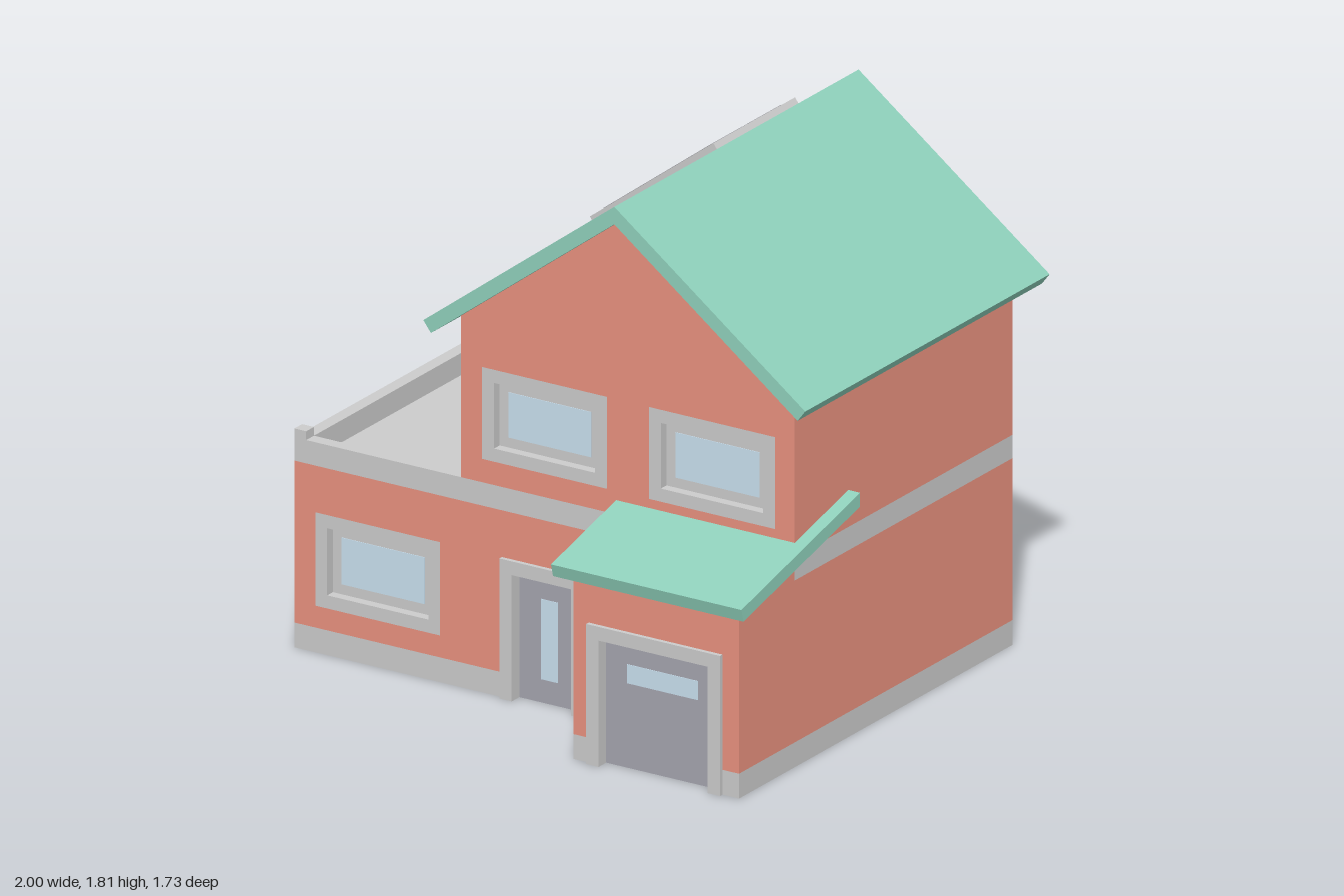
import * as THREE from 'three';

const mat = (color) => new THREE.MeshStandardMaterial({ color, flatShading: true });
const GREY = mat(0xcccccc), BRICK = mat(0xe8917f), ROOF = mat(0x8fd0bb);
const GLASS = mat(0xc8dfee), DOOR = mat(0xa4a4ae), CELL = mat(0x9c9ca2);
const D = 0.04; // depth of the outer wall skin
const L = -1, R = 0.905, U = -0.365, F = 0.485, B = -0.785, PEAK = 0.27;
const BASE = 0.085, DECK = 0.64, BAND = 0.72, EAVE = 1.274, TOP = 1.75;

function add(parent, name, geometry, material) {
  const mesh = new THREE.Mesh(geometry, material);
  mesh.name = name;
  parent.add(mesh);
  return mesh;
}

// Box given by its limits on each axis
function box(parent, name, material, x0, x1, y0, y1, z0, z1) {
  const mesh = add(parent, name, new THREE.BoxGeometry(x1 - x0, y1 - y0, z1 - z0), material);
  mesh.position.set((x0 + x1) / 2, (y0 + y1) / 2, (z0 + z1) / 2);
  return mesh;
}

const outline = (pts) => new THREE.Shape(pts.map(([x, y]) => new THREE.Vector2(x, y)));
const rect = (x0, x1, y0, y1) => [[x0, y0], [x1, y0], [x1, y1], [x0, y1]];

// Flat shape with holes, extruded from z0 to z1
function slab(parent, name, material, pts, z0, z1, holes = []) {
  const shape = outline(pts);
  holes.forEach((h) => shape.holes.push(outline(rect(...h))));
  const geometry = new THREE.ExtrudeGeometry(shape, { depth: z1 - z0, bevelEnabled: false });
  geometry.translate(0, 0, z0);
  return add(parent, name, geometry, material);
}

// Profile of [z, y] points extruded across x
function sideSlab(parent, name, material, pts, x0, x1) {
  const mesh = slab(parent, name, material, pts, 0, x1 - x0);
  mesh.rotation.y = -Math.PI / 2;
  mesh.position.x = x1;
  return mesh;
}

// Wall skin: outer face on local z = 0, doors notch the lower edge
function skin(parent, name, x0, x1, y0, y1, doors, windows, peakX) {
  const pts = [[x0, y0]];
  doors.forEach((d) => pts.push([d[0], y0], [d[0], d[3]], [d[1], d[3]], [d[1], y0]));
  pts.push([x1, y0], [x1, y1]);
  if (peakX !== undefined) pts.push([peakX, TOP]);
  pts.push([x0, y1]);
  slab(parent, name, BRICK, pts, -D, 0, windows);
}

// Plinth strip interrupted by doors
function plinth(parent, x0, x1, doors) {
  let start = x0;
  [...doors, [x1, x1]].forEach((d) => {
    box(parent, 'plinth', GREY, start, d[0], 0, BASE, -D, 0);
    start = d[1];
  });
}

// Flush surround, recessed sash and pane
function addWindow(parent, [x0, x1, y0, y1]) {
  const g = new THREE.Group();
  g.name = 'window';
  parent.add(g);
  const a = 0.045, b = 0.08;
  const hole = [x0 + a, x1 - a, y0 + a, y1 - a];
  slab(g, 'windowSurround', GREY, rect(x0, x1, y0, y1), -D, 0, [hole]);
  box(g, 'windowSash', GREY, ...hole, -D, -0.033);
  box(g, 'windowPane', GLASS, x0 + b, x1 - b, y0 + b, y1 - b, -D, -0.031);
}

// Door frame standing proud by p, with a recessed leaf and optional pane
function addDoor(parent, [x0, x1, y0, y1], p, pane) {
  const g = new THREE.Group();
  g.name = 'door';
  parent.add(g);
  const a = 0.047;
  slab(g, 'doorFrame', GREY, [[x0, y0], [x0 + a, y0], [x0 + a, y1 - a], [x1 - a, y1 - a],
    [x1 - a, y0], [x1, y0], [x1, y1], [x0, y1]], -D, p);
  box(g, 'doorLeaf', DOOR, x0 + a, x1 - a, y0, y1 - a, -D, -0.03);
  if (pane) box(g, 'doorPane', GLASS, ...pane, -D, -0.028);
}

function wallGroup(parent, name, x, z, turn) {
  const g = new THREE.Group();
  g.name = name;
  g.position.set(x, 0, z);
  g.rotation.y = turn;
  parent.add(g);
  return g;
}

export function createModel() {
  const house = new THREE.Group();
  house.name = 'house';

  // Inner cores, whose ends form the plain side walls
  box(house, 'plinthCore', GREY, L, R, 0, BASE, B + D, F - D);
  box(house, 'groundFloorCore', BRICK, L, R, BASE, DECK, B + D, F - D);
  box(house, 'bandCore', GREY, U + D, R, DECK, BAND, B + D, F - D);
  const xi = U + D;
  slab(house, 'upperFloorCore', BRICK, [[xi, BAND], [R, BAND], [R, EAVE], [PEAK, TOP],
    [xi, TOP - 0.75 * (PEAK - xi)]], B + D, F - D);

  // Terrace floor, parapets and corner posts
  const t = 0.045;
  box(house, 'terraceFloor', GREY, L + t, xi, 0.6, DECK + 0.004, B + t, F - t);
  box(house, 'sideParapet', GREY, L, L + t, DECK, BAND, B + t, F - t);
  for (const z of [B, F - t]) {
    box(house, 'band', GREY, L, R, DECK, BAND, z, z + t);
    box(house, 'cornerPost', GREY, L, L + t, BAND, 0.75, z, z + t);
  }

  // Front wall
  const front = wallGroup(house, 'frontWall', 0, F, 0);
  const frontDoor = [-0.21, 0.11, 0, 0.48];
  const lowWindow = [-0.92, -0.445, 0.16, 0.48];
  const upWindows = [[-0.285, 0.19, 0.8, 1.115], [0.35, 0.83, 0.8, 1.115]];
  plinth(front, L, R, [frontDoor]);
  skin(front, 'groundFloorFront', L, R, BASE, DECK, [frontDoor], [lowWindow]);
  skin(front, 'gableFront', U, R, BAND, EAVE, [], upWindows, PEAK);
  addDoor(front, frontDoor, 0.015, [-0.08, -0.015, 0.08, 0.355]);
  [lowWindow, ...upWindows].forEach((w) => addWindow(front, w));

  // Back wall, its local x runs the other way
  const back = wallGroup(house, 'backWall', 0, B, Math.PI);
  const backDoor = [-0.11, 0.21, 0, 0.48];
  const backLow = [0.445, 0.92, 0.16, 0.48], backUp = [-0.83, -0.35, 0.8, 1.115];
  plinth(back, -R, -L, [backDoor]);
  skin(back, 'groundFloorBack', -R, -L, BASE, DECK, [backDoor], [backLow]);
  skin(back, 'gableBack', -R, -U, BAND, EAVE, [], [backUp], -PEAK);
  addDoor(back, backDoor, 0);
  [backLow, backUp].forEach((w) => addWindow(back, w));

  // Wall and door facing the terrace, local x runs along z
  const terrace = wallGroup(house, 'terraceWall', U, 0, -Math.PI / 2);
  const terraceDoor = [-0.64, -0.32, DECK, 1.12];
  skin(terrace, 'terraceWallSkin', B + D, F - D, DECK, EAVE, [terraceDoor], []);
  addDoor(terrace, terraceDoor, 0.015);

  // Garage with lean-to roof
  const gx = 0.275, gz = 0.81;
  box(house, 'garagePlinth', GREY, gx, R, 0, BASE, F, gz - D);
  sideSlab(house, 'garageCore', BRICK, [[F, BASE], [gz - D, BASE], [gz - D, 0.655], [F, 0.726]], gx, R);
  const garage = wallGroup(house, 'garageFront', 0, gz, 0);
  const garageDoor = [0.333, 0.842, 0, 0.48];
  plinth(garage, gx, R, [garageDoor]);
  skin(garage, 'garageFrontSkin', gx, R, BASE, 0.643, [garageDoor], []);
  addDoor(garage, garageDoor, 0.015, [0.46, 0.73, 0.29, 0.355]);
  sideSlab(house, 'garageRoof', ROOF,
    [[0.172, 0.8], [0.853, 0.63], [0.865, 0.674], [0.172, 0.847]], 0.225, 0.95);

  // Main gable roof
  slab(house, 'mainRoof', ROOF, [[PEAK - 0.698, 1.227], [PEAK, TOP], [PEAK + 0.698, 1.227],
    [PEAK + 0.727, 1.265], [PEAK, 1.81], [PEAK - 0.727, 1.265]], -0.86, 0.565);

  // Solar panel lying on the left slope
  const panel = new THREE.Group();
  panel.name = 'solarPanel';
  panel.position.set(-0.092, 1.81 - 0.75 * (PEAK + 0.092), -0.468);
  panel.rotation.z = Math.atan(0.75);
  house.add(panel);
  box(panel, 'panelFrame', GREY, -0.294, 0.294, -0.005, 0.025, -0.238, 0.238);
  for (const z of [-0.112, 0.112])
    box(panel, 'panelCells', CELL, -0.258, 0.258, 0, 0.027, z - 0.09, z + 0.09);

  return house;
}
